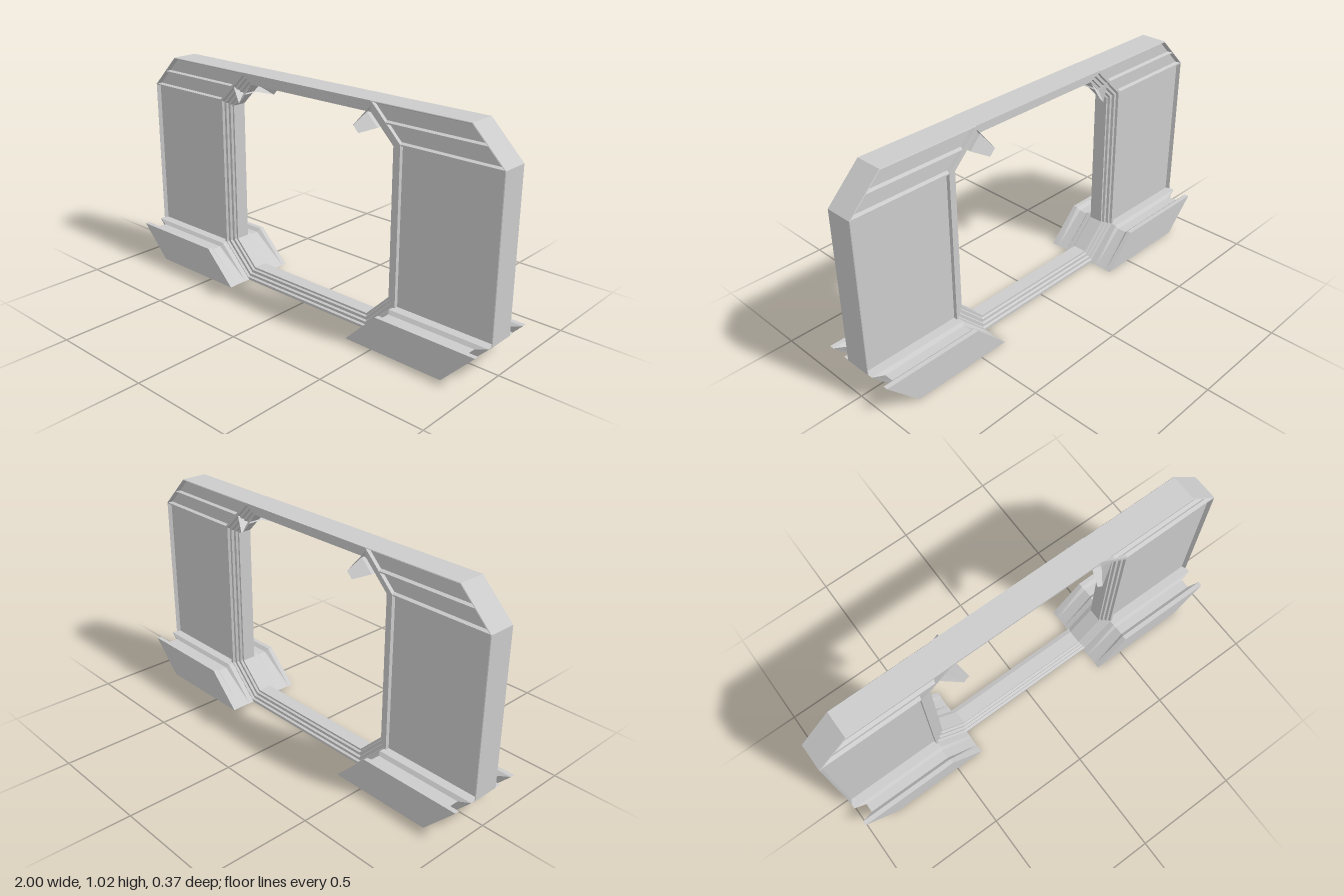
import * as THREE from 'three';

const mat = new THREE.MeshStandardMaterial({ color: 0xcccccc, flatShading: true });

function mesh(geo, name) {
  const m = new THREE.Mesh(geo, mat);
  m.name = name;
  return m;
}

function build(pos, idx) {
  const g = new THREE.BufferGeometry();
  g.setAttribute('position', new THREE.Float32BufferAttribute(pos, 3));
  g.setIndex(idx);
  const flat = g.toNonIndexed();
  flat.computeVertexNormals();
  return flat;
}

// Octagon with chamfered corners, half width w, from y0 to y1
function octagon(w, y0, y1, c) {
  return [[w - c, y0], [w, y0 + c], [w, y1 - c], [w - c, y1],
    [c - w, y1], [-w, y1 - c], [-w, y0 + c], [c - w, y0]];
}
// Opening and outer outlines, inset by d
const opening = d => octagon(0.525 - d, d, 1.02 - d, 0.152 - d * 0.586);
const border = d => octagon(1 - d, d, 1.02 - d, 0.152 - d * 0.586);

// Closed frame: a half profile of (inset, z), mirrored in z, swept round an outline
function frame(outline, half) {
  const profile = [...half, ...half.map(([d, z]) => [d, -z]).reverse()];
  const pos = [], idx = [], n = 8, m = profile.length;
  for (const [d, z] of profile) for (const [x, y] of outline(d)) pos.push(x, y, z);
  for (let k = 0; k < m; k++) {
    for (let i = 0; i < n; i++) {
      const j = (i + 1) % n, a = k * n, b = ((k + 1) % m) * n;
      idx.push(a + i, a + j, b + j, a + i, b + j, b + i);
    }
  }
  return build(pos, idx);
}

// Solid symmetric in z through counter-clockwise outlines, given from the middle outward
function loft(half) {
  const sections = [...half.map(([p, z]) => [p, -z]).reverse(), ...half];
  const pos = [], idx = [], n = half[0][0].length;
  for (const [pts, z] of sections) for (const [x, y] of pts) pos.push(x, y, z);
  for (let s = 0; s < sections.length - 1; s++) {
    for (let i = 0; i < n; i++) {
      const a = s * n + i, b = s * n + (i + 1) % n;
      idx.push(a, b, b + n, a, b + n, a + n);
    }
  }
  const end = (sections.length - 1) * n;
  const cap = half.at(-1)[0].map(p => new THREE.Vector2(...p));
  for (const [a, b, c] of THREE.ShapeUtils.triangulateShape(cap, [])) {
    idx.push(a, c, b, end + a, end + b, end + c);
  }
  return build(pos, idx);
}

// Horizontal rib across the side wall, with sloped faces, ends following the corners
function rib(y0, y1) {
  const lean = y => Math.max(0, y - 0.868);
  const outline = e => [
    [0.515 - lean(y0 + e), y0 + e], [0.998 - lean(y0 + e), y0 + e],
    [0.998 - lean(y1 - e), y1 - e], [0.515 - lean(y1 - e), y1 - e]];
  return loft([[outline(0), 0.045], [outline(0.006), 0.063]]);
}

// Foot: leaning block with a bevelled groove near each end
function foot() {
  const full = [[0.36, 0], [0.85, 0], [0.884, 0.035], [1, 0.155], [0.515, 0.155]];
  const groove = [[0.362, 0], [0.85, 0], [0.84, 0.035], [0.945, 0.14], [0.522, 0.14]];
  return loft([[full, 0.09], [groove, 0.103], [groove, 0.147], [full, 0.163], [full, 0.185]]);
}

// Claw: saddle over the trim with two flared tips; profile in (inward, z)
function claw() {
  const profile = [[-0.045, -0.062], [0.05, -0.11], [0.006, -0.045],
    [0.006, 0.045], [0.05, 0.11], [-0.045, 0.062]].map(p => new THREE.Vector2(...p));
  const g = new THREE.ExtrudeGeometry(new THREE.Shape(profile), { depth: 1, bevelEnabled: false });
  const p = g.attributes.position, r = Math.SQRT1_2;
  for (let i = 0; i < p.count; i++) {
    const n = p.getX(i), z = p.getY(i);
    const t = (p.getZ(i) - 0.5) * (0.085 - 0.9 * Math.max(0, n));
    p.setXYZ(i, 0.37 - n * r + t * r, 0.94 - n * r - t * r, z);
  }
  g.computeVertexNormals();
  return g;
}

export function createModel() {
  const model = new THREE.Group();
  model.name = 'doorFrame';

  // Recessed wall
  const wall = new THREE.Shape(border(0.003).map(p => new THREE.Vector2(...p)));
  wall.holes.push(new THREE.Path(opening(0.02).map(p => new THREE.Vector2(...p))));
  model.add(mesh(new THREE.ExtrudeGeometry(wall, { depth: 0.094, bevelEnabled: false })
    .translate(0, 0, -0.047), 'wall'));

  // Raised rim along the outer edge
  model.add(mesh(frame(border, [[0, 0.063], [0.003, 0.065], [0.012, 0.045]]), 'outerRim'));

  // Trim stepping down toward the opening
  model.add(mesh(frame(opening, [[0, 0.065], [0.012, 0.065], [0.016, 0.054], [0.028, 0.054],
    [0.032, 0.043], [0.045, 0.043], [0.049, 0.033], [0.058, 0.033]]), 'openingTrim'));

  // The half turn gives the opposite side
  for (const side of ['left', 'right']) {
    const half = new THREE.Group();
    half.name = side + 'Side';
    if (side === 'right') half.rotation.y = Math.PI;
    half.add(mesh(foot(), 'foot'), mesh(claw(), 'cornerClaw'),
      mesh(rib(0.857, 0.875), 'lowerRib'), mesh(rib(0.932, 0.95), 'upperRib'));
    model.add(half);
  }
  return model;
}
